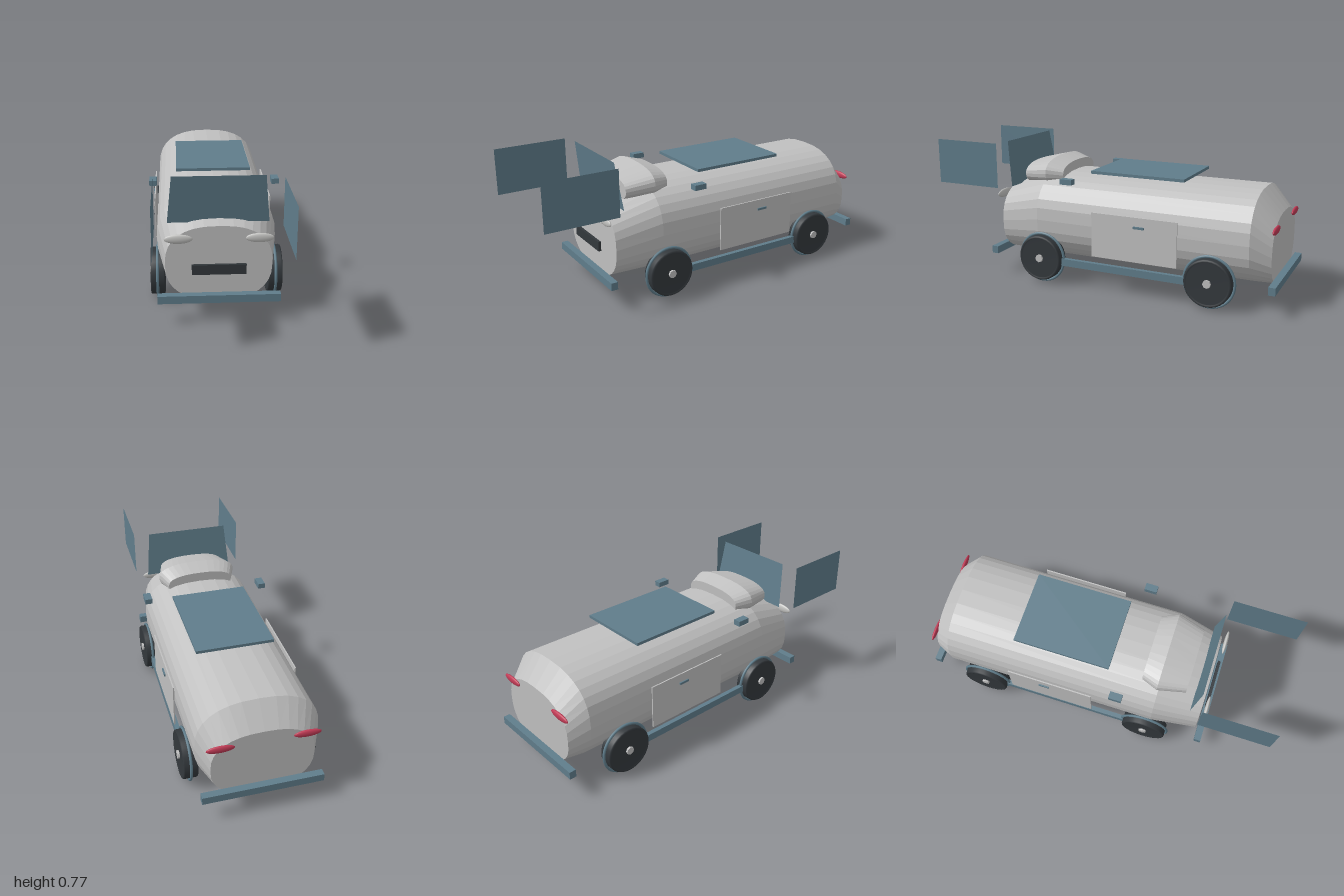
import * as THREE from 'three';

const silver = new THREE.MeshStandardMaterial({ color: 0xc0c0c0, flatShading: true });
silver.name = 'silver';
const blueGrey = new THREE.MeshStandardMaterial({ color: 0x607d8b, side: THREE.DoubleSide });
blueGrey.name = 'blueGrey';
const rubber = new THREE.MeshStandardMaterial({ color: 0x33383c });
rubber.name = 'darkRubber';
const red = new THREE.MeshStandardMaterial({ color: 0xc03a55 });
red.name = 'red';
const lamp = new THREE.MeshStandardMaterial({ color: 0xc4c4c2 });
lamp.name = 'lampGrey';

// Closed loft through rounded sections { z, w: half width, bottom, top }, front to back
function loft(sections, n = 2.5, seg = 32) {
  const pos = [], index = [];
  for (const { z, w, bottom, top } of sections) {
    const cy = (top + bottom) / 2, h = (top - bottom) / 2;
    for (let j = 0; j < seg; j++) {
      const a = (j / seg) * Math.PI * 2, c = Math.cos(a), s = Math.sin(a);
      pos.push(w * Math.sign(c) * Math.abs(c) ** (2 / n), cy + h * Math.sign(s) * Math.abs(s) ** (2 / n), z);
    }
  }
  const last = sections.length - 1, front = pos.length / 3, back = front + 1;
  for (const k of [0, last]) pos.push(0, (sections[k].top + sections[k].bottom) / 2, sections[k].z);
  for (let j = 0; j < seg; j++) {
    const k = (j + 1) % seg;
    for (let i = 0; i < last; i++) {
      const a = i * seg + j, b = i * seg + k, c = a + seg, d = b + seg;
      index.push(a, c, b, b, c, d);
    }
    index.push(front, j, k, back, last * seg + k, last * seg + j);
  }
  const geo = new THREE.BufferGeometry();
  geo.setAttribute('position', new THREE.Float32BufferAttribute(pos, 3));
  geo.setIndex(index);
  const flat = geo.toNonIndexed();
  flat.computeVertexNormals();
  return flat;
}

export function createModel() {
  const model = new THREE.Group();
  model.name = 'van';

  const add = (name, geo, mat, x = 0, y = 0, z = 0) => {
    const mesh = new THREE.Mesh(geo, mat);
    mesh.name = name;
    mesh.position.set(x, y, z);
    model.add(mesh);
    return mesh;
  };
  // Box given by its limits on each axis
  const box = (name, mat, [x0, x1], [y0, y1], [z0, z1]) =>
    add(name, new THREE.BoxGeometry(x1 - x0, y1 - y0, z1 - z0), mat,
      (x0 + x1) / 2, (y0 + y1) / 2, (z0 + z1) / 2);

  // Hull and the raised cowl on the hood
  add('body', loft([
    { z: 0.604, w: 0.271, bottom: 0.112, top: 0.52 },
    { z: 0.35, w: 0.315, bottom: 0.112, top: 0.605 },
    { z: -0.86, w: 0.315, bottom: 0.112, top: 0.605 },
    { z: -0.962, w: 0.262, bottom: 0.112, top: 0.487 },
  ]), silver);
  add('cowl', loft([
    { z: 0.495, w: 0.185, bottom: 0.52, top: 0.647 },
    { z: 0.342, w: 0.225, bottom: 0.52, top: 0.685 },
    { z: 0.25, w: 0.187, bottom: 0.53, top: 0.658 },
  ]), silver);

  // Windshield leaning forward at the top
  const glass = new THREE.BufferGeometry();
  glass.setAttribute('position', new THREE.Float32BufferAttribute([
    -0.257, 0.518, 0.545, 0.257, 0.518, 0.545, 0.232, 0.773, 0.58, -0.232, 0.773, 0.58], 3));
  glass.setIndex([0, 1, 2, 0, 2, 3]);
  glass.computeVertexNormals();
  add('windshield', glass, blueGrey);

  box('roofPanel', blueGrey, [-0.205, 0.205], [0.625, 0.641], [-0.475, 0.065]);
  box('grille', rubber, [-0.137, 0.137], [0.272, 0.325], [0.625, 0.64]);
  box('frontBumper', blueGrey, [-0.312, 0.312], [0.123, 0.165], [0.622, 0.66]);
  box('rearBumper', blueGrey, [-0.312, 0.312], [0.123, 0.165], [-1, -0.963]);

  // Tyre profile with slightly rounded shoulders, a shallow step on each face
  const tyreGeo = new THREE.LatheGeometry([
    [0, -0.034], [0.112, -0.034], [0.115, -0.038], [0.124, -0.038], [0.128, -0.032],
    [0.128, 0.032], [0.124, 0.038], [0.115, 0.038], [0.112, 0.034], [0, 0.034],
  ].map(([r, y]) => new THREE.Vector2(r, y)), 32);
  const archGeo = new THREE.TorusGeometry(0.136, 0.0075, 8, 40);
  const hubGeo = new THREE.CylinderGeometry(0.022, 0.022, 0.012, 8);
  const lampGeo = new THREE.SphereGeometry(1, 24, 16);

  for (const side of [1, -1]) {
    const tag = side > 0 ? 'left' : 'right';
    const span = (a, b) => (side > 0 ? [a, b] : [-b, -a]);

    // Side window pane
    add(`${tag}SideWindow`, new THREE.PlaneGeometry(0.4, 0.254), blueGrey, side * 0.32, 0.643, 0.8)
      .rotation.y = side * Math.PI / 2;

    // Door, handle, mirror and sill
    box(`${tag}Door`, silver, span(0.326, 0.333), [0.198, 0.443], [-0.488, 0]);
    box(`${tag}DoorHandle`, blueGrey, span(0.331, 0.341), [0.383, 0.395], [-0.306, -0.246]);
    box(`${tag}Mirror`, blueGrey, span(0.312, 0.352), [0.583, 0.612], [0.11, 0.18]);
    box(`${tag}Sill`, blueGrey, span(0.3, 0.325), [0.114, 0.154], [-0.56, 0.22]);

    // Lamps
    add(`${tag}Headlight`, lampGeo, lamp, side * 0.202, 0.465, 0.63).scale.set(0.071, 0.0245, 0.011);
    add(`${tag}TailLight`, lampGeo, red, side * 0.215, 0.432, -0.967).scale.set(0.07, 0.02, 0.011);

    // Wheels with arch rings behind them
    for (const [end, z] of [['Front', 0.32], ['Rear', -0.66]]) {
      add(`${tag}${end}Tyre`, tyreGeo, rubber, side * 0.313, 0.147, z).rotation.z = -Math.PI / 2;
      add(`${tag}${end}Hub`, hubGeo, silver, side * 0.352, 0.147, z).rotation.z = Math.PI / 2;
      add(`${tag}${end}ArchRing`, archGeo, blueGrey, side * 0.314, 0.146, z).rotation.y = Math.PI / 2;
    }
  }
  return model;
}
